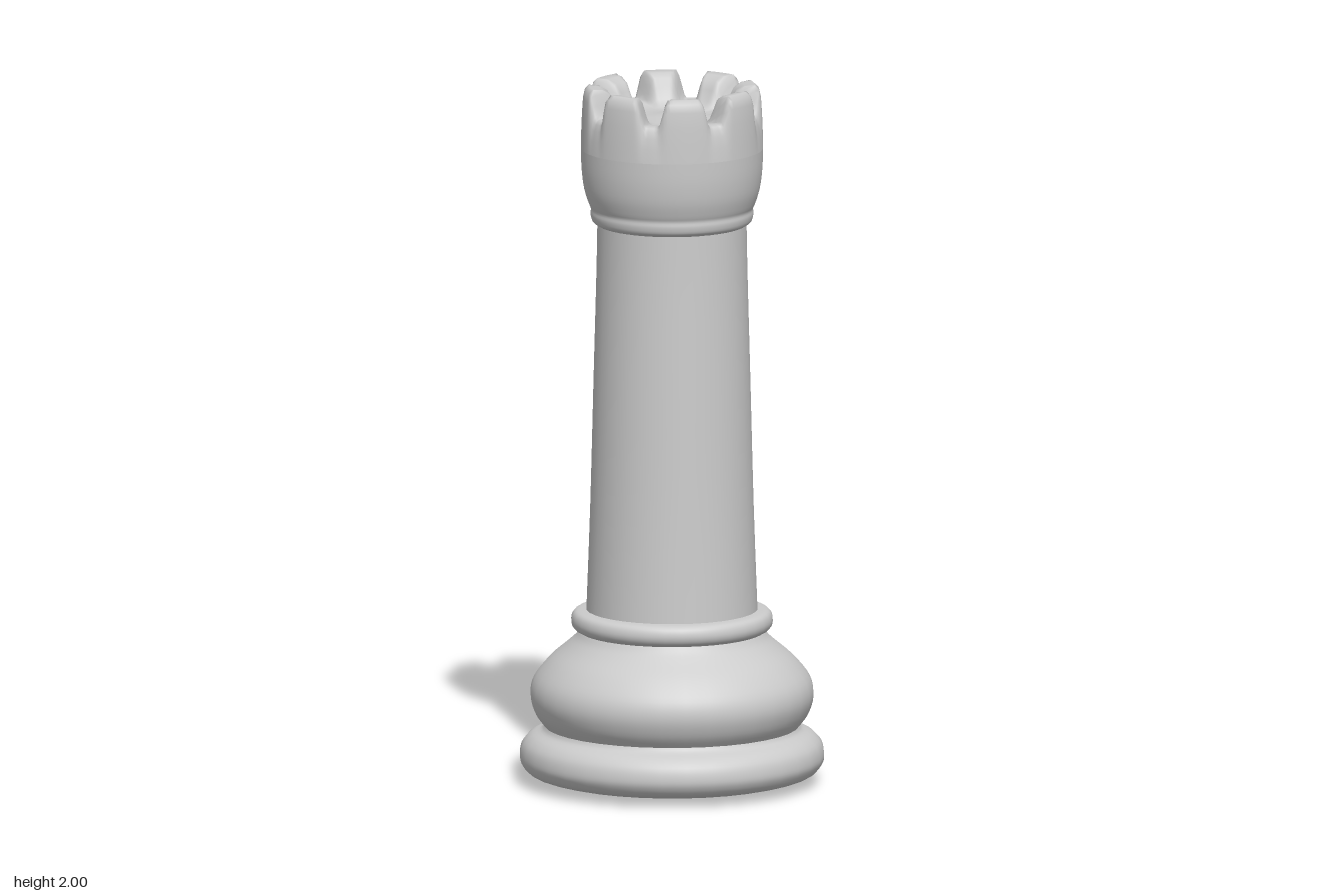
import * as THREE from 'three';
import { mergeVertices } from 'three/addons/utils/BufferGeometryUtils.js';

const material = new THREE.MeshStandardMaterial({ color: 0xcccccc });
const vectors = (points) => points.map(([r, y]) => new THREE.Vector2(r, y));

// Smooth turned part from a few [radius, height] points, listed bottom to top
function turned(name, points, samples, sides = 36) {
  const profile = samples ? new THREE.SplineCurve(vectors(points)).getPoints(samples) : vectors(points);
  profile.forEach((p) => { p.x = Math.max(0, p.x); });
  const mesh = new THREE.Mesh(new THREE.LatheGeometry(profile, sides), material);
  mesh.name = name;
  return mesh;
}

// Battlements: blend a merlon profile with a notch profile around the ring
function battlements() {
  const merlon = vectors([
    [0.257, 1.82], [0.256, 1.87], [0.254, 1.92], [0.251, 1.965], [0.246, 1.988], [0.234, 2.0], [0.205, 1.997],
    [0.182, 1.985], [0.168, 1.96], [0.155, 1.93], [0.135, 1.912], [0.1, 1.908], [0.05, 1.913], [0, 1.92],
  ]);
  const notch = vectors([
    [0.257, 1.82], [0.254, 1.86], [0.249, 1.89], [0.244, 1.908], [0.238, 1.918], [0.228, 1.922], [0.205, 1.921],
    [0.182, 1.918], [0.168, 1.915], [0.155, 1.912], [0.135, 1.909], [0.1, 1.908], [0.05, 1.913], [0, 1.92],
  ]);
  const sides = 192, step = Math.PI / 4;
  let geometry = new THREE.LatheGeometry(merlon, sides);
  const pos = geometry.attributes.position;
  for (let i = 0; i < pos.count; i++) {
    const row = i % merlon.length;
    const angle = (Math.floor(i / merlon.length) / sides) * Math.PI * 2;
    const offset = angle - Math.round(angle / step) * step;
    const distance = merlon[row].x * Math.abs(Math.sin(offset));
    const p = notch[row].clone().lerp(merlon[row], THREE.MathUtils.smoothstep(distance, 0.018, 0.046));
    pos.setXYZ(i, p.x * Math.sin(angle), p.y, p.x * Math.cos(angle));
  }
  // Weld the seam and the centre so the shading is continuous
  geometry.deleteAttribute('uv');
  geometry.deleteAttribute('normal');
  geometry = mergeVertices(geometry, 1e-5);
  geometry.computeVertexNormals();
  const mesh = new THREE.Mesh(geometry, material);
  mesh.name = 'battlements';
  return mesh;
}

export function createModel() {
  const model = new THREE.Group();
  model.name = 'rook';
  model.add(
    // Slightly domed underside
    turned('underside', [[0, 0], [0.2, 0.006], [0.36, 0.02]]),
    // Foot ring
    turned('foot', [[0.36, 0.02], [0.405, 0.034], [0.426, 0.06], [0.43, 0.085], [0.422, 0.115],
      [0.4, 0.138], [0.37, 0.152], [0.36, 0.165]], 24),
    // Bulging base
    turned('base', [[0.36, 0.165], [0.385, 0.2], [0.4, 0.25], [0.39, 0.3], [0.35, 0.352],
      [0.3, 0.395], [0.275, 0.418], [0.262, 0.436]], 28),
    // Collar under the shaft
    turned('collar', [[0.262, 0.436], [0.278, 0.446], [0.285, 0.464], [0.281, 0.484],
      [0.268, 0.495], [0.242, 0.498]], 16),
    // Tapering shaft
    turned('shaft', [[0.242, 0.495], [0.231, 0.8], [0.222, 1.15], [0.214, 1.45], [0.211, 1.605]], 12),
    // Flared head with a small bead at its foot
    turned('head', [[0.211, 1.603], [0.225, 1.613], [0.23, 1.632], [0.229, 1.648], [0.236, 1.665],
      [0.248, 1.705], [0.255, 1.76], [0.257, 1.82]], 24, 48),
    battlements(),
  );
  return model;
}
